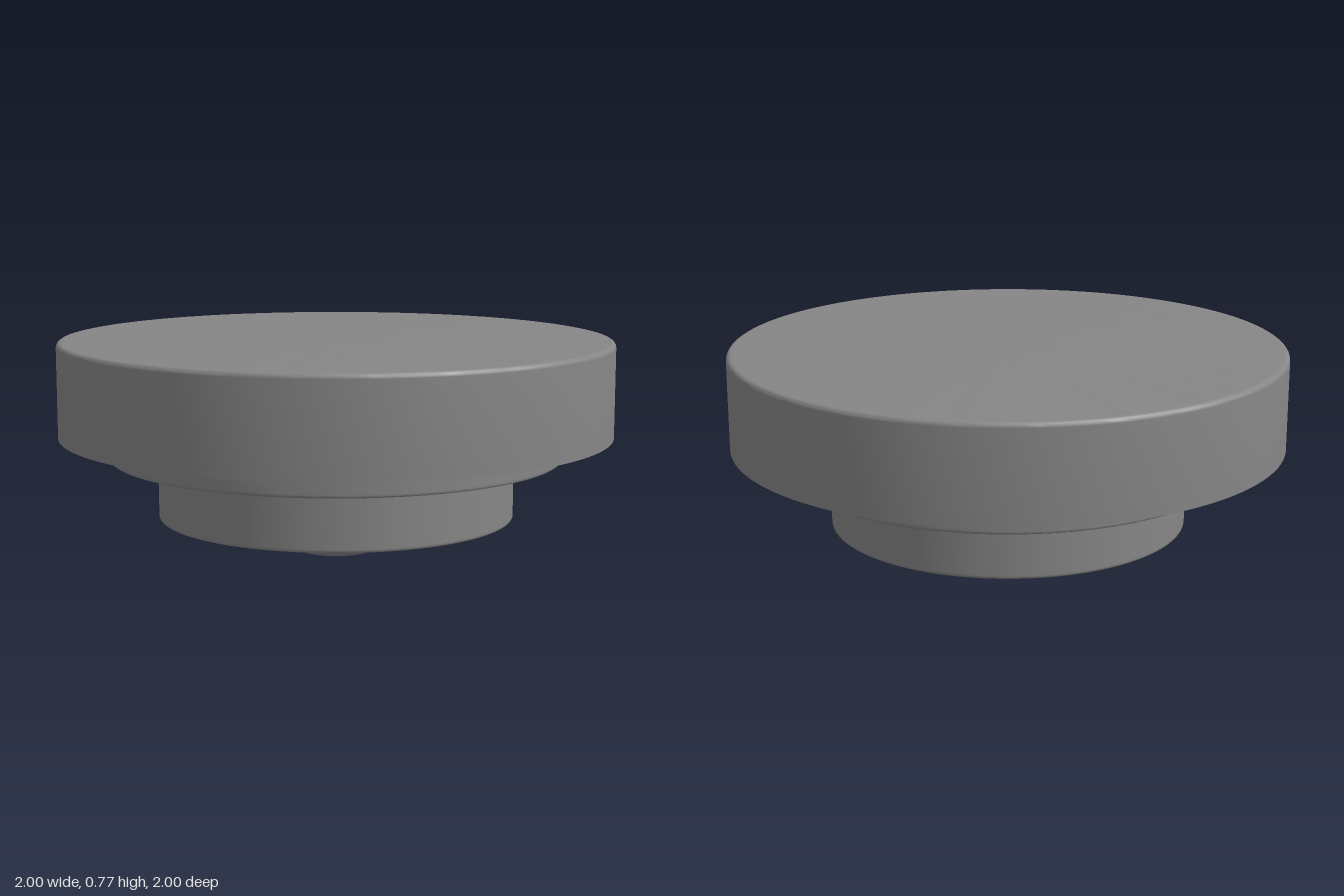
import * as THREE from 'three';
import { toCreasedNormals } from 'three/addons/utils/BufferGeometryUtils.js';

const SEGMENTS = 128;

// Small quarter-round from angle a to b (radians) about (cx, cy)
function fillet(cx, cy, r, a, b, steps = 4) {
  return Array.from({ length: steps + 1 }, (_, i) => {
    const t = a + (b - a) * i / steps;
    return [cx + r * Math.cos(t), cy + r * Math.sin(t)];
  });
}

function lathe(name, profile, side = THREE.FrontSide) {
  const points = profile.map(([x, y]) => new THREE.Vector2(x, y));
  const geometry = toCreasedNormals(new THREE.LatheGeometry(points, SEGMENTS), 0.5);
  const mesh = new THREE.Mesh(geometry, new THREE.MeshStandardMaterial({ color: 0x868686, side }));
  mesh.name = name;
  return mesh;
}

export function createModel() {
  const group = new THREE.Group();
  group.name = 'steppedKnob';
  const down = -Math.PI / 2;

  // Wide cap with a softly rounded top edge; narrow rings keep the flats flat
  group.add(lathe('cap', [
    [0.8, 0.433], [1, 0.433], [1, 0.75],
    ...fillet(0.982, 0.757, 0.018, 0, Math.PI / 2),
    [0.975, 0.775], [0, 0.775],
  ]));

  // Middle step under the cap
  group.add(lathe('collar', [
    [0.63, 0.348], [0.805, 0.348],
    ...fillet(0.812, 0.356, 0.008, down, 0),
    [0.82, 0.362], [0.82, 0.433],
  ]));

  // Narrow base with a bore opening downwards
  group.add(lathe('base', [
    [0, 0.348], [0.264, 0.348], [0.264, 0.128], [0.63, 0.128],
    ...fillet(0.637, 0.136, 0.008, down, 0),
    [0.645, 0.142], [0.645, 0.348],
  ]));

  // Open nozzle with a gently bulging wall
  const nozzle = Array.from({ length: 13 }, (_, i) => {
    const t = i / 12;
    return [0.14 + 0.124 * t + 0.045 * t * (1 - t), 0.128 * t];
  });
  group.add(lathe('nozzle', nozzle, THREE.DoubleSide));

  return group;
}
